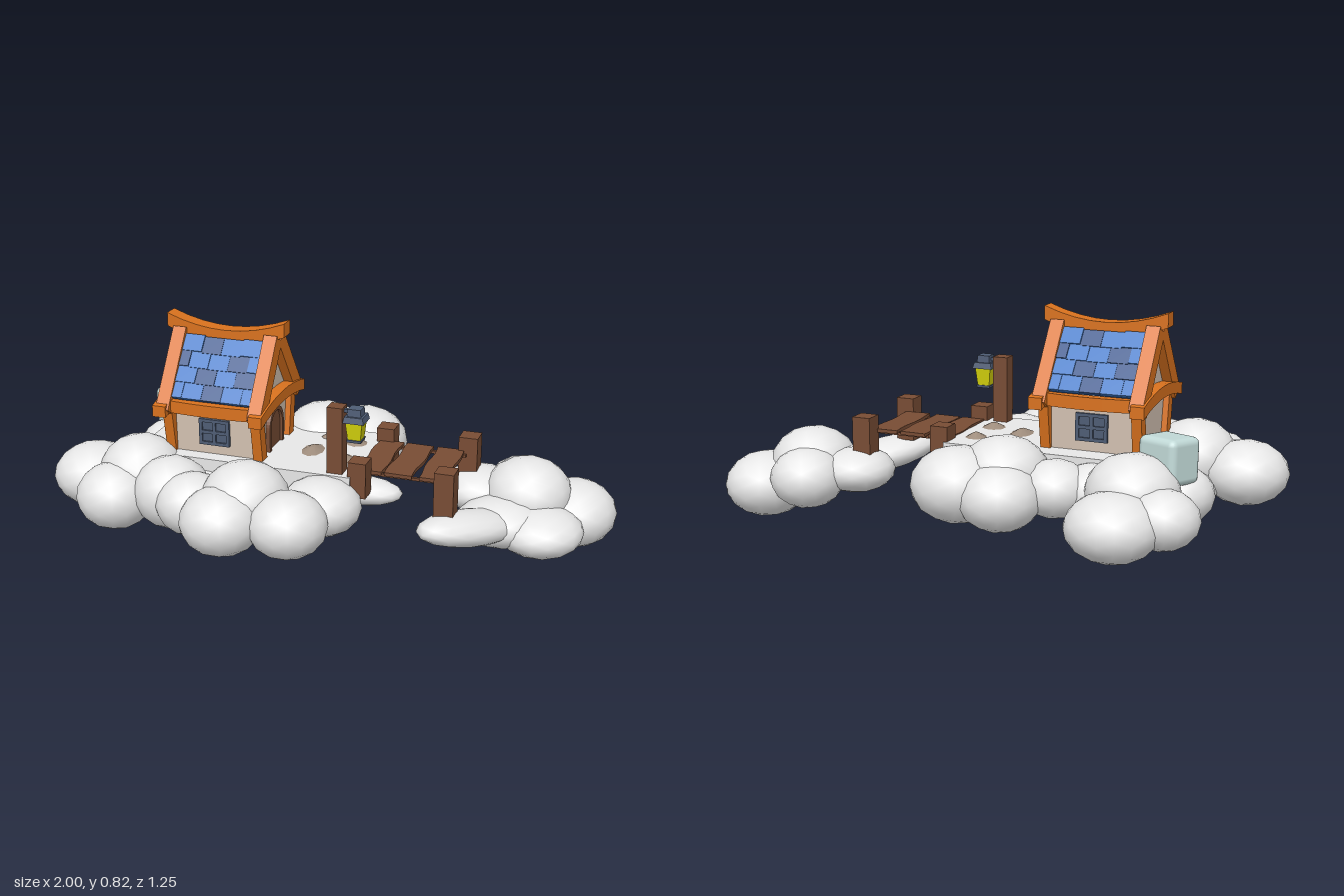
import * as THREE from 'three';
import { RoundedBoxGeometry } from 'three/addons/geometries/RoundedBoxGeometry.js';

const mat = (name, color) => Object.assign(new THREE.MeshStandardMaterial({ color }), { name });

export function createModel() {
  const cloudMat = mat('cloud white', 0xe8e8e8), plaster = mat('plaster', 0xd4c2b2);
  const timber = mat('orange timber', 0xd9721e), blue = mat('roof blue', 0x3877c6);
  const navy = mat('roof dark blue', 0x2c518a), wood = mat('brown wood', 0x784c34);
  const slate = mat('slate metal', 0x4e5c74), glow = mat('lantern yellow', 0xd4d20c);
  const ice = mat('pale ice', 0xc2dad8), stone = mat('stone', 0x9e8c7c);

  const model = new THREE.Group();
  model.name = 'cloudIsland';
  const add = (parent, name, geo, material, x = 0, y = 0, z = 0) => {
    const m = new THREE.Mesh(geo, material);
    m.name = name;
    m.position.set(x, y, z);
    parent.add(m);
    return m;
  };
  const group = (parent, name, x = 0, y = 0, z = 0) => {
    const g = new THREE.Group();
    g.name = name;
    g.position.set(x, y, z);
    parent.add(g);
    return g;
  };
  const box = (w, h, d) => new THREE.BoxGeometry(w, h, d);
  // Beam along x whose ends are lifted by the given amount
  const curvedBeam = (len, h, d, lift) => {
    const g = new THREE.BoxGeometry(len, h, d, 8, 1, 1), p = g.attributes.position;
    for (let i = 0; i < p.count; i++) p.setY(i, p.getY(i) + lift * (2 * p.getX(i) / len) ** 2);
    g.computeVertexNormals();
    return g;
  };

  // Clouds: x, y, z, radii x, y, z, then yaw and tilt
  const puff = new THREE.IcosahedronGeometry(1.01, 2);
  const puffs = (name, list) => {
    const g = group(model, name);
    for (const [x, y, z, rx, ry = rx * 0.8, rz = rx, yaw = 0, tilt = 0] of list) {
      const p = add(g, 'puff', puff, cloudMat, x, y, z);
      p.scale.set(rx, ry, rz);
      p.rotation.set(0, yaw, tilt);
    }
  };
  puffs('backLeftCloud', [
    [-0.59, 0.2, -0.47, 0.16, 0.115], [-0.73, 0.22, -0.39, 0.125],
    [-0.6, 0.275, -0.3, 0.16], [-0.7, 0.23, -0.13, 0.13],
  ]);
  puffs('backRightCloud', [
    [-0.135, 0.29, -0.29, 0.155], [0, 0.25, -0.37, 0.165], [-0.165, 0.23, -0.4, 0.145],
    [-0.32, 0.25, -0.29, 0.125], [-0.44, 0.24, -0.24, 0.12],
  ]);
  puffs('frontLeftCloud', [
    [-0.85, 0.235, 0.22, 0.155, 0.115], [-0.66, 0.27, 0.23, 0.155, 0.14],
    [-0.71, 0.22, 0.35, 0.14, 0.12], [-0.5, 0.25, 0.32, 0.14, 0.13],
  ]);
  puffs('frontRightCloud', [
    [-0.39, 0.25, 0.39, 0.13, 0.11], [-0.2, 0.29, 0.37, 0.155, 0.13],
    [-0.245, 0.245, 0.48, 0.145, 0.12], [-0.02, 0.245, 0.44, 0.14, 0.115],
    [0.04, 0.25, 0.27, 0.145, 0.1],
  ]);
  puffs('underCloud', [
    [-0.62, 0.18, 0.08, 0.16, 0.095, 0.17], [-0.42, 0.22, 0.18, 0.18, 0.085],
    [-0.45, 0.21, -0.1, 0.18, 0.085], [-0.22, 0.22, 0.18, 0.17, 0.085],
    [-0.2, 0.22, -0.12, 0.18, 0.085], [-0.01, 0.23, 0.1, 0.16, 0.07, 0.18],
    [0.11, 0.25, 0.09, 0.175, 0.05, 0.08],
  ]);
  puffs('islet', [
    [0.685, 0.205, -0.17, 0.16, 0.135], [0.645, 0.18, -0.29, 0.135, 0.11],
    [0.845, 0.125, -0.24, 0.155, 0.12, 0.165], [0.76, 0.13, -0.03, 0.155, 0.085],
    [0.5, 0.2, -0.18, 0.14, 0.08], [0.62, 0.15, -0.02, 0.16, 0.085, 0.14],
    [0.54, 0.18, 0.13, 0.22, 0.06, 0.1, 0.9, -0.15],
  ]);

  // Flat ground slab and stepping stones
  add(model, 'ground', box(0.82, 0.1, 0.44), cloudMat, -0.28, 0.297, 0);
  for (const [x, z, rx, rz] of [[-0.075, 0.015, 0.047, 0.07], [0.055, 0.06, 0.05, 0.05],
    [0.055, -0.1, 0.045, 0.045], [-0.06, -0.125, 0.033, 0.03]])
    add(model, 'steppingStone', new THREE.CylinderGeometry(0.2, 1, 1, 9), stone, x, 0.354, z).scale.set(rx, 0.02, rz);

  // Ice block
  const block = add(model, 'iceBlock', new RoundedBoxGeometry(0.16, 0.16, 0.145, 2, 0.025), ice, -0.69, 0.37, -0.2);
  block.rotation.set(0.06, -0.42, 0);

  // House, its ridge running along x
  const house = group(model, 'house', -0.395, 0, 0.018);
  const gable = new THREE.Shape([[-0.145, 0.34], [0.145, 0.34], [0.15, 0.53], [0, 0.725], [-0.15, 0.53]]
    .map(([x, y]) => new THREE.Vector2(x, y)));
  const walls = new THREE.ExtrudeGeometry(gable, { depth: 0.33, bevelEnabled: false });
  add(house, 'walls', walls.translate(0, 0, -0.165).rotateY(-Math.PI / 2), plaster);
  add(house, 'ridgeBeam', curvedBeam(0.45, 0.05, 0.06, 0.045), timber, 0, 0.754, 0);

  // Arched door with a raised surround
  const arch = (r, top) => {
    const s = new THREE.Shape();
    s.moveTo(-r, 0.345);
    s.lineTo(r, 0.345);
    s.lineTo(r, top - r);
    s.absarc(0, top - r, r, 0, Math.PI, false);
    s.closePath();
    return s;
  };
  const extrudeX = (s, depth) =>
    new THREE.ExtrudeGeometry(s, { depth, bevelEnabled: false, curveSegments: 10 }).rotateY(Math.PI / 2);
  const surround = arch(0.071, 0.5);
  surround.holes.push(arch(0.056, 0.485));
  add(house, 'doorSurround', extrudeX(surround, 0.018), wood, 0.163);
  add(house, 'door', extrudeX(arch(0.058, 0.487), 0.008), wood, 0.163);

  // Everything that repeats on both long sides
  const slope = Math.atan2(0.185, 0.142), slopeLen = Math.hypot(0.185, 0.142);
  const shades = ['bnbb', 'nbbnb', 'bnbn', 'bbnbb'];
  for (const turn of [0, Math.PI]) {
    const side = group(house, turn ? 'backSide' : 'frontSide');
    side.rotation.y = turn;

    // Large staggered shingles over a dark underlay
    add(side, 'roofUnderlay', box(0.3, 0.012, slopeLen), navy, 0, 0.645, 0.1).rotation.x = slope;
    const w = 0.075;
    shades.forEach((row, r) => [...row].forEach((shade, c) => {
      const shift = (r % 2) * w / 2, t = (r + 0.5) / shades.length;
      const x0 = Math.max(-0.15, -0.15 + c * w - shift);
      const x1 = Math.min(0.15, -0.15 + (c + 1) * w - shift);
      const x = (x0 + x1) / 2, lift = 0.012 * (x / 0.15) ** 2 * (1 - t);
      const tile = add(side, 'shingle', box(x1 - x0 - 0.001, 0.01, slopeLen / shades.length + 0.006),
        shade === 'b' ? blue : navy, x, 0.745 - 0.185 * t + lift, 0.035 + 0.142 * t);
      tile.rotation.x = slope - 0.05;
    }));
    add(side, 'eaveBeam', curvedBeam(0.4, 0.045, 0.034, 0.006), timber, 0, 0.524, 0.176);

    // Rake beams and leaning corner posts
    for (const s of [-1, 1]) {
      const rake = add(side, 'rakeBeam', box(0.05, 0.06, 0.315), timber, s * 0.175, 0.633, 0.102);
      rake.rotation.x = Math.atan2(0.275, 0.195);
      const post = add(side, 'cornerPost', box(0.036, 0.18, 0.045), timber, s * 0.168, 0.43, 0.15);
      post.rotation.x = 0.16;
    }

    // Window with crossbars
    const win = group(side, 'window', 0, 0.433, 0.148);
    add(win, 'glass', box(0.11, 0.09, 0.008), slate);
    for (const s of [-1, 0, 1]) {
      add(win, 'upright', box(0.012, 0.098, 0.016), slate, s * 0.052, 0, 0.003);
      add(win, 'crossbar', box(0.116, 0.012, 0.016), slate, 0, s * 0.043, 0.003);
    }
  }
  // Arched tie beams across both gables
  for (const s of [-1, 1])
    add(house, 'tieBeam', curvedBeam(0.445, 0.042, 0.05, -0.03).rotateY(Math.PI / 2), timber, s * 0.183, 0.545, 0);

  // Bridge: wavy planks, bearers and four posts
  const bridge = group(model, 'bridge');
  [[0.177, 0.09, 0.02], [0.285, 0.1, -0.02], [0.403, 0.098, 0.02]].forEach(([x, w, yaw], k) => {
    const g = new THREE.BoxGeometry(w, 0.013, 0.295, 1, 1, 8), p = g.attributes.position;
    for (let i = 0; i < p.count; i++) p.setX(i, p.getX(i) + 0.004 * Math.sin(p.getZ(i) * 30 + k * 2));
    g.computeVertexNormals();
    add(bridge, 'plank', g, wood, x, 0.345, -0.003).rotation.y = yaw;
  });
  for (const z of [-0.175, 0.175]) {
    add(bridge, 'nearPost', box(0.066, 0.13, 0.07), wood, 0.152, 0.335, z);
    add(bridge, 'farPost', box(0.07, 0.165, 0.07), wood, 0.464, 0.32, z);
    add(bridge, 'bearer', box(0.31, 0.01, 0.012), wood, 0.305, 0.337, z * 0.75);
  }

  // Lantern hanging from a tall post
  const lantern = group(model, 'lantern', 0.138, 0, 0.172);
  add(lantern, 'lanternPost', box(0.056, 0.27, 0.055), wood, -0.07, 0.457, 0);
  add(lantern, 'arm', box(0.075, 0.012, 0.014), slate, -0.02, 0.578, 0);
  const square = (top, bottom, h) => new THREE.CylinderGeometry(top * Math.SQRT1_2, bottom * Math.SQRT1_2, h, 4)
    .rotateY(Math.PI / 4).toNonIndexed();
  const part = (name, geo, y, material = slate) => {
    geo.computeVertexNormals();
    add(lantern, name, geo, material, 0, y, 0);
  };
  part('lanternLight', square(0.06, 0.046, 0.066), 0.511, glow);
  part('lanternBase', square(0.054, 0.05, 0.01), 0.475);
  part('lanternCap', square(0.066, 0.076, 0.022), 0.555);
  part('lanternTop', square(0.046, 0.05, 0.026), 0.579);

  return model;
}
